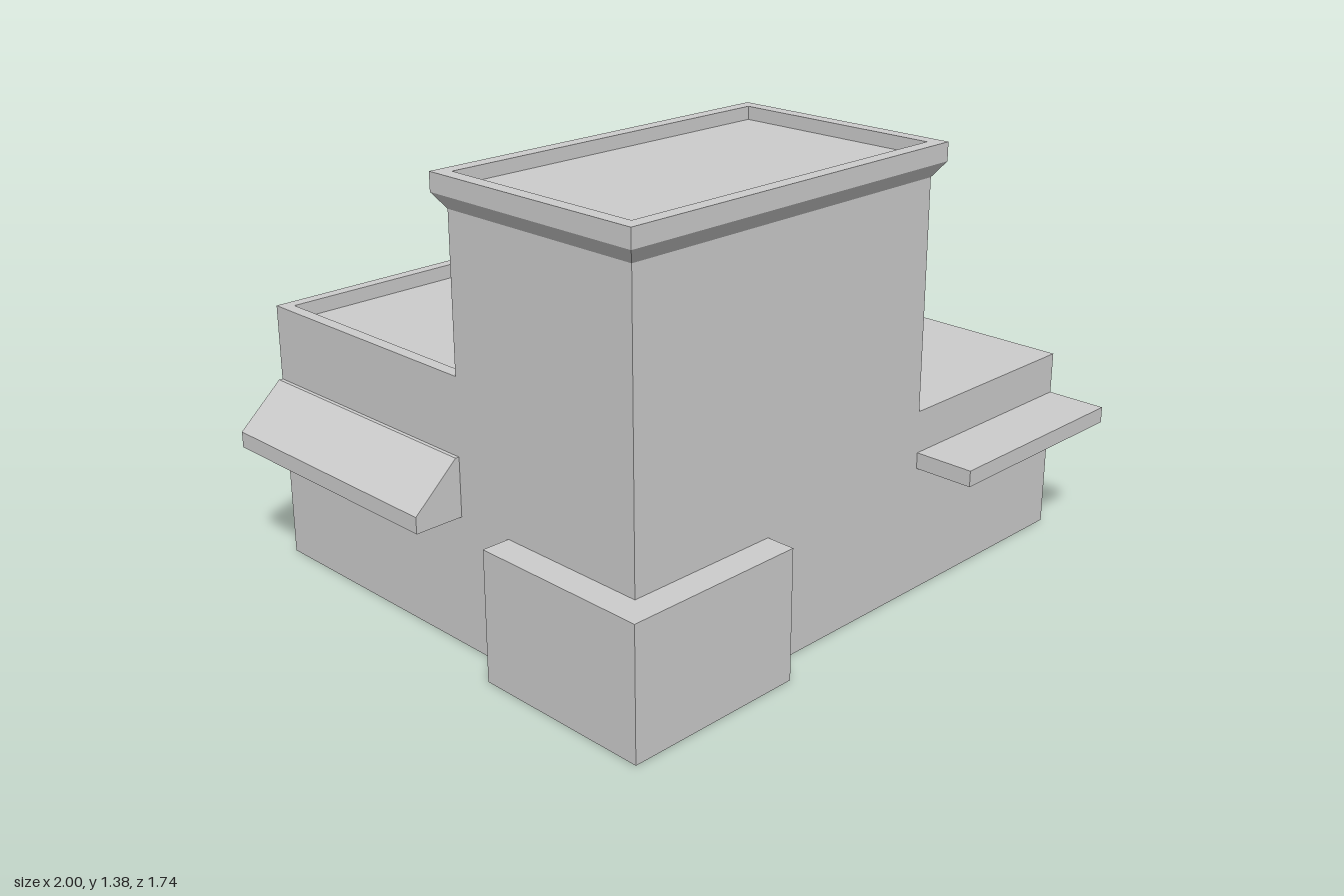
import * as THREE from 'three';

const material = new THREE.MeshStandardMaterial({ color: 0xcccccc, flatShading: true });

function add(group, name, geometry) {
  const mesh = new THREE.Mesh(geometry, material);
  mesh.name = name;
  group.add(mesh);
  return mesh;
}

// Box given by its limits on each axis
function block(group, name, [x0, x1], [y0, y1], [z0, z1]) {
  const geometry = new THREE.BoxGeometry(x1 - x0, y1 - y0, z1 - z0);
  geometry.translate((x0 + x1) / 2, (y0 + y1) / 2, (z0 + z1) / 2);
  return add(group, name, geometry);
}

// Rectangular rings [outset, y] joined from the ground up, closed at both ends
function ringed(group, name, [x0, x1], [z0, z1], rings) {
  const positions = [];
  const corners = rings.map(([o, y]) => [
    [x0 - o, y, z1 + o], [x1 + o, y, z1 + o], [x1 + o, y, z0 - o], [x0 - o, y, z0 - o],
  ]);
  const quad = (a, b, c, d) => positions.push(...a, ...b, ...c, ...a, ...c, ...d);
  for (let i = 0; i < corners.length - 1; i++) {
    for (let k = 0; k < 4; k++) {
      const n = (k + 1) % 4;
      quad(corners[i][k], corners[i][n], corners[i + 1][n], corners[i + 1][k]);
    }
  }
  quad(...corners[corners.length - 1]);
  quad(...[...corners[0]].reverse());
  const geometry = new THREE.BufferGeometry();
  geometry.setAttribute('position', new THREE.Float32BufferAttribute(positions, 3));
  geometry.computeVertexNormals();
  return add(group, name, geometry);
}

export function createModel() {
  const building = new THREE.Group();
  building.name = 'building';

  // Main tower with flared cornice and sunken roof
  ringed(building, 'tower', [-0.845, 0.305], [-0.012, 0.677], [
    [0, 0], [0, 1.28], [0.031, 1.325], [0.031, 1.38], [-0.011, 1.38], [-0.011, 1.34],
  ]);

  // Rear block with a plain parapet
  ringed(building, 'rearBlock', [-0.845, -0.15], [-0.87, -0.012], [
    [0, 0], [0, 0.815], [-0.038, 0.815], [-0.038, 0.77],
  ]);

  // Lower wings and the shop front
  block(building, 'sideWing', [0.305, 1], [0, 0.58], [-0.012, 0.677]);
  block(building, 'rearAnnex', [-0.15, 0.235], [0, 0.58], [-0.87, -0.428]);
  block(building, 'cornerBay', [-0.933, -0.347], [0, 0.4], [0.187, 0.767]);

  // Flat canopy over the front of the side wing
  block(building, 'canopy', [0.305, 1], [0.4, 0.45], [0.677, 0.867]);

  // Sloping awning along the rear block
  const profile = new THREE.Shape([
    [-0.845, 0.4], [-0.845, 0.58], [-0.857, 0.58], [-1, 0.45], [-1, 0.4],
  ].map(([x, y]) => new THREE.Vector2(x, y)));
  const awning = new THREE.ExtrudeGeometry(profile, { depth: 0.858, bevelEnabled: false });
  awning.translate(0, 0, -0.87);
  add(building, 'awning', awning);

  return building;
}
